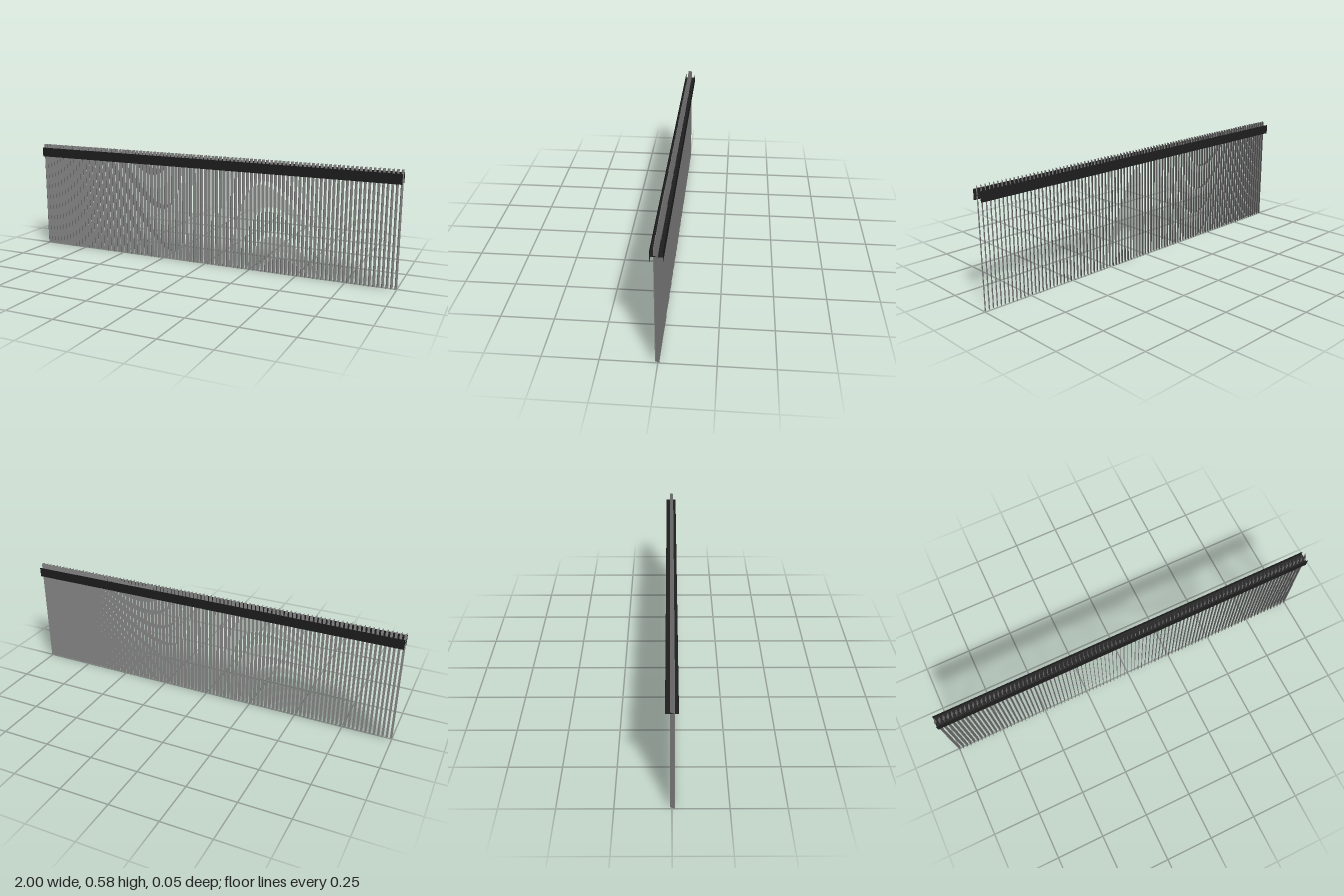
import * as THREE from 'three';
import { mergeGeometries } from 'three/addons/utils/BufferGeometryUtils.js';

const SLATS = 95;
const HEIGHT = 0.577;
const RAIL_DEPTH = 0.054, RAIL_HEIGHT = 0.05, RAIL_Y = 0.535;

// Upright sheet standing on y = 0 between two points [x, z] of the plan
function sheet([x0, z0], [x1, z1], height) {
  const g = new THREE.PlaneGeometry(Math.hypot(x1 - x0, z1 - z0), height);
  g.rotateY(Math.atan2(z0 - z1, x1 - x0));
  g.translate((x0 + x1) / 2, height / 2, (z0 + z1) / 2);
  return g;
}

export function createModel() {
  const model = new THREE.Group();
  model.name = 'slattedScreen';

  const slatGrey = new THREE.MeshStandardMaterial({ color: 0x808080, side: THREE.DoubleSide });
  slatGrey.name = 'slatGrey';
  const railBlack = new THREE.MeshStandardMaterial({ color: 0x1e1e1e, side: THREE.DoubleSide });
  railBlack.name = 'railBlack';

  // Slats: angled blades, each with a small folded lip on the front edge
  const profile = [[-0.0015, 0.0125], [-0.0045, 0.0102], [0.0045, -0.0075]];
  const slatGeometry = mergeGeometries([
    sheet(profile[0], profile[1], HEIGHT),
    sheet(profile[1], profile[2], HEIGHT),
  ]);
  const slats = new THREE.Group();
  slats.name = 'slats';
  const reach = 1 - 0.0045;
  for (let i = 0; i < SLATS; i++) {
    const slat = new THREE.Mesh(slatGeometry, slatGrey);
    slat.name = 'slat';
    slat.position.x = -reach + (2 * reach * i) / (SLATS - 1);
    slats.add(slat);
  }
  model.add(slats);

  // Rail: front and back plates joined by a level web, open at the ends
  const rail = new THREE.Group();
  rail.name = 'rail';
  const plateGeometry = new THREE.PlaneGeometry(2, RAIL_HEIGHT);
  for (const side of [1, -1]) {
    const plate = new THREE.Mesh(plateGeometry, railBlack);
    plate.name = side > 0 ? 'frontRailPlate' : 'backRailPlate';
    plate.position.set(0, RAIL_Y, (side * RAIL_DEPTH) / 2);
    if (side < 0) plate.rotation.y = Math.PI;
    rail.add(plate);
  }
  const web = new THREE.Mesh(new THREE.PlaneGeometry(2, RAIL_DEPTH), railBlack);
  web.name = 'railWeb';
  web.rotation.x = -Math.PI / 2;
  web.position.y = RAIL_Y;
  rail.add(web);
  model.add(rail);

  return model;
}
